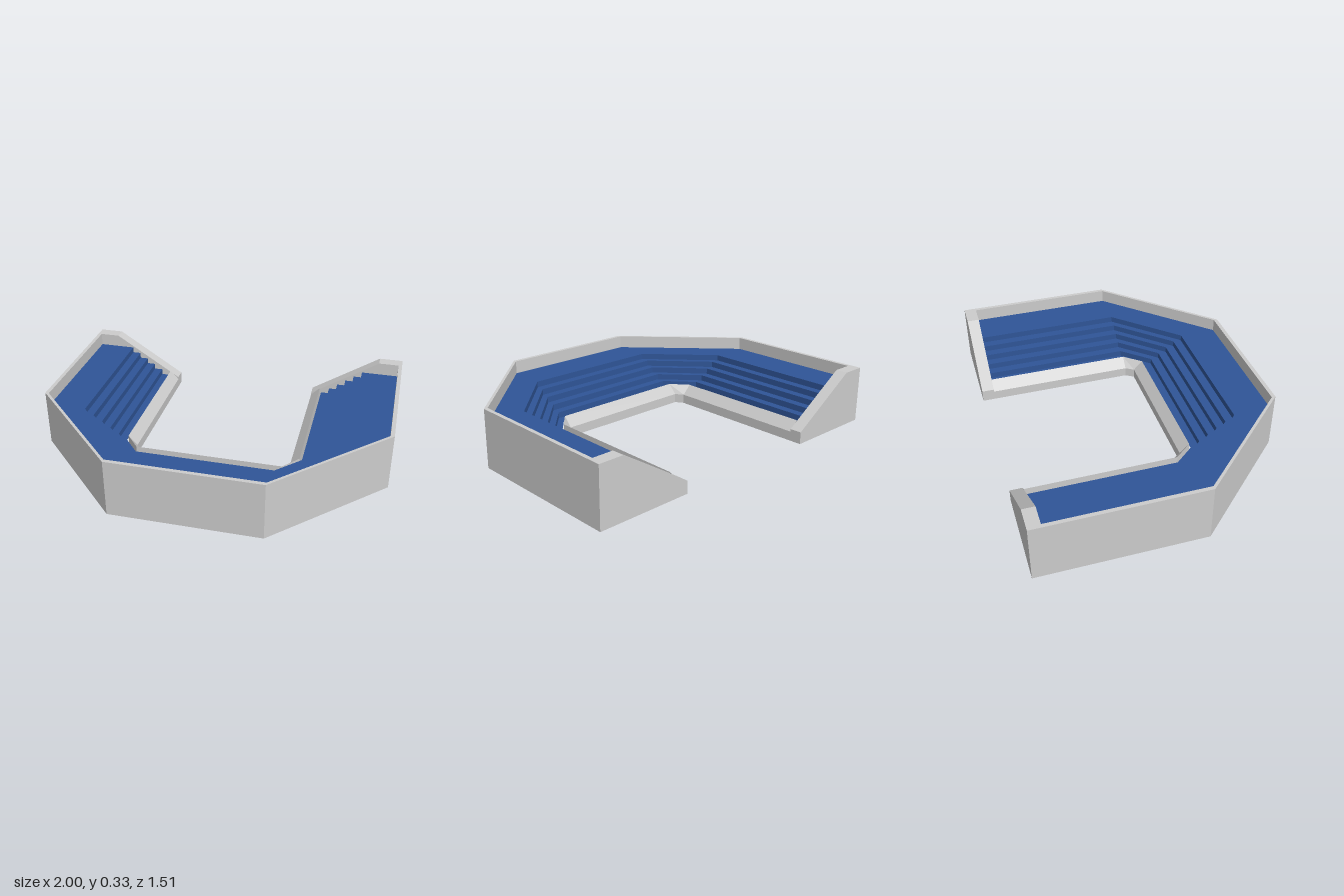
import * as THREE from 'three';

const BACK = -0.757, END = 0.07;

// Horseshoe path at half-width r, with one chamfered corner on each side
function pathAt(r) {
  const half = [[r, BACK + END], [r, 0.16], [0.42, r - 0.243]];
  return [...half, ...half.map(([x, z]) => [-x, z]).reverse()];
}

// Sweeps an open cross-section of [r, y] points, listed from outside to inside
function sweep(profile) {
  const rings = profile.map(([r, y]) => pathAt(r).map(([x, z]) => [x, y, z]));
  const pos = [];
  for (let j = 0; j < rings.length - 1; j++) {
    const p = rings[j], q = rings[j + 1];
    for (let i = 0; i < p.length - 1; i++) {
      const a = p[i], b = q[i], c = q[i + 1], d = p[i + 1];
      pos.push(...a, ...b, ...c, ...a, ...c, ...d);
    }
  }
  return fromPositions(pos);
}

function fromPositions(pos) {
  const g = new THREE.BufferGeometry();
  g.setAttribute('position', new THREE.Float32BufferAttribute(pos, 3));
  g.computeVertexNormals();
  return g;
}

// Drops the triangles lying on the ground, leaving a hollow shell
function openBottom(geometry) {
  const src = geometry.attributes.position.array, pos = [];
  for (let i = 0; i < src.length; i += 9) {
    const flat = [1, 4, 7].every((k) => Math.abs(src[i + k]) < 1e-6);
    if (!flat) pos.push(...src.slice(i, i + 9));
  }
  return fromPositions(pos);
}

export function createModel() {
  const group = new THREE.Group();
  const style = { flatShading: true, side: THREE.DoubleSide };
  const grey = new THREE.MeshStandardMaterial({ color: 0xcccccc, ...style });
  const blue = new THREE.MeshStandardMaterial({ color: 0x2f5597, ...style });
  const add = (name, geometry, material) => {
    const mesh = new THREE.Mesh(geometry, material);
    mesh.name = name;
    group.add(mesh);
    return mesh;
  };

  // Tall thin outer wall, hollow underneath
  add('outerWall', sweep([[1, 0], [1, 0.33], [0.978, 0.33], [0.978, 0]]), grey);

  // Low inner wall with a sloping top, hollow underneath
  add('innerWall', sweep([[0.503, 0], [0.503, 0.11], [0.45, 0.055], [0.45, 0]]), grey);

  // Stepped seating, from the wide upper platform down to the lowest tread
  const rise = 0.035;
  const steps = [[0.978, 0.08 + 5 * rise]];
  for (let k = 5; k >= 0; k--) {
    const r = 0.513 + k * 0.0494, y = 0.08 + k * rise;
    steps.push([r, y]);
    if (k > 0) steps.push([r, y - rise]);
  }
  add('terraces', sweep(steps), blue);

  // Sloping end walls, hollow underneath
  for (const s of [1, -1]) {
    const outline = [[0.45, 0], [1, 0], [1, 0.33], [0.86, 0.33], [0.45, 0.07]];
    const shape = new THREE.Shape(outline.map(([x, y]) => new THREE.Vector2(s * x, y)));
    const solid = new THREE.ExtrudeGeometry(shape, { depth: END, bevelEnabled: false });
    add(s > 0 ? 'leftEndWall' : 'rightEndWall', openBottom(solid), grey).position.z = BACK;
  }
  return group;
}
